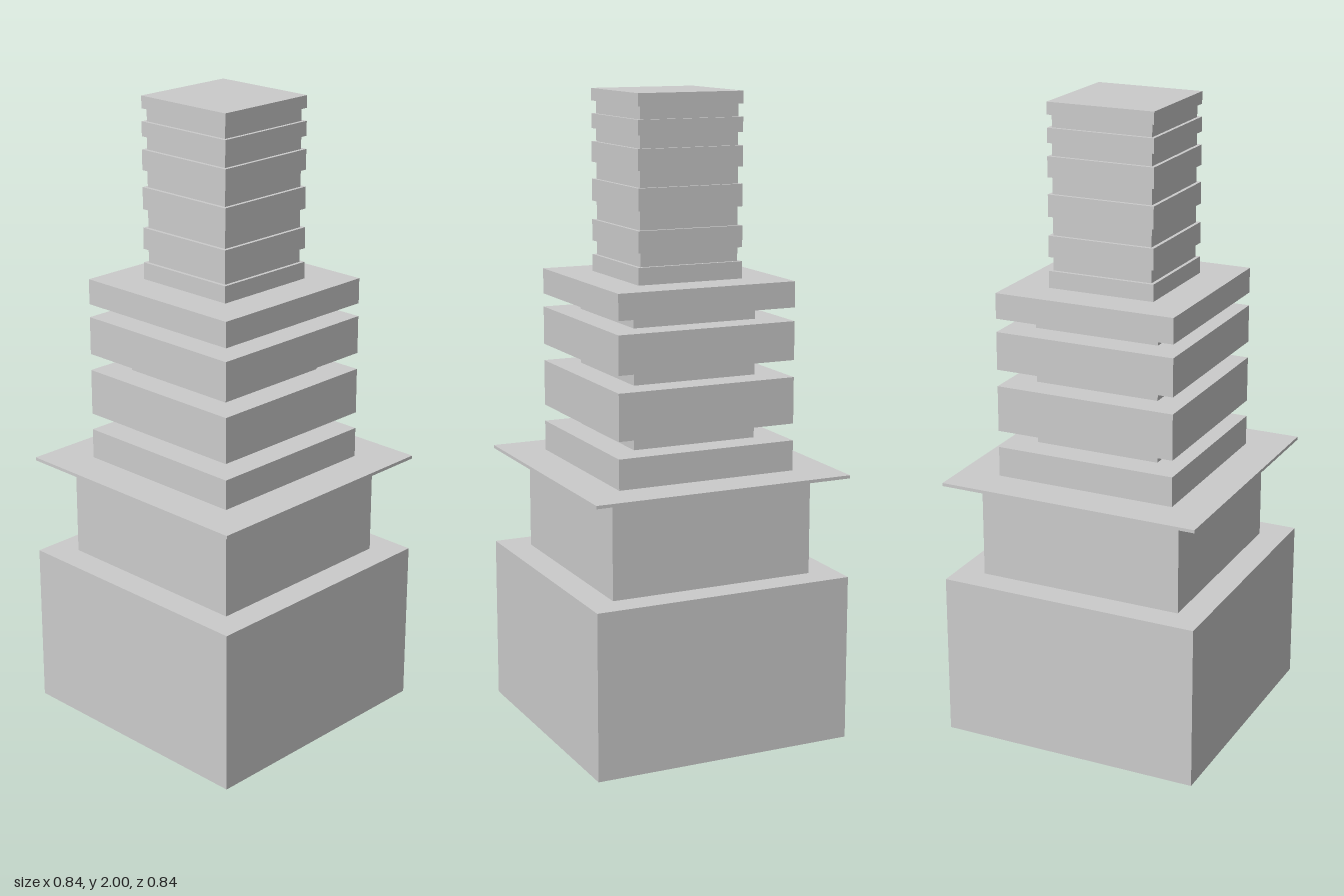
import * as THREE from 'three';

const material = new THREE.MeshStandardMaterial({ color: 0xcccccc, flatShading: true });

// Square block of a given half width between two heights
function block(name, half, y0, y1) {
  const mesh = new THREE.Mesh(new THREE.BoxGeometry(half * 2, y1 - y0, half * 2), material);
  mesh.position.y = (y0 + y1) / 2;
  mesh.name = name;
  return mesh;
}

// Stack of slabs with narrower recessed blocks filling the gaps
function tier(name, slabHalf, recessHalf, spans) {
  const group = new THREE.Group();
  group.name = name;
  spans.forEach(([y0, y1], i) => {
    group.add(block(name + 'Slab' + (i + 1), slabHalf, y0, y1));
    if (i > 0) group.add(block(name + 'Recess' + i, recessHalf, spans[i - 1][1], y0));
  });
  return group;
}

export function createModel() {
  const model = new THREE.Group();
  model.name = 'steppedTower';

  // Podium, set-back storey and thin overhanging terrace
  model.add(block('podium', 0.421, 0, 0.523));
  model.add(block('setbackStorey', 0.332, 0.523, 0.837));
  model.add(block('terracePlate', 0.421, 0.837, 0.847));

  // Wide middle floors
  model.add(tier('middleTier', 0.292, 0.203, [
    [0.847, 0.942], [0.995, 1.14], [1.193, 1.313], [1.355, 1.435],
  ]));

  // Narrow upper floors
  model.add(tier('upperTier', 0.173, 0.162, [
    [1.435, 1.488], [1.531, 1.597], [1.655, 1.723],
    [1.775, 1.838], [1.878, 1.923], [1.962, 2],
  ]));

  return model;
}
